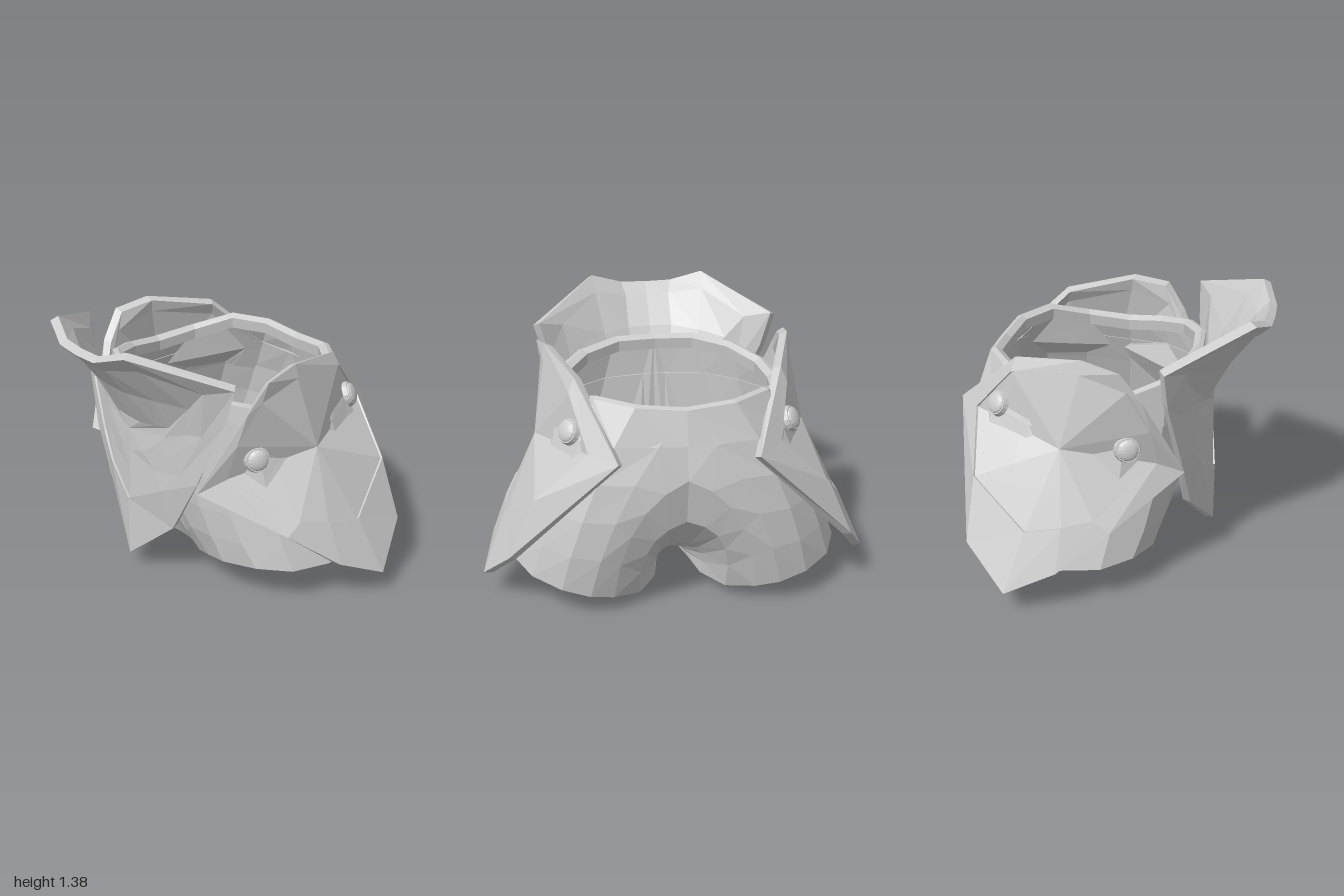
import * as THREE from 'three';

const material = new THREE.MeshStandardMaterial({ color: 0xcccccc, flatShading: true, side: THREE.DoubleSide });

// Skins a list of closed rings, all with the same number of points.
function loft(rings, name) {
  const n = rings[0].length, index = [];
  for (let r = 0; r < rings.length - 1; r++) {
    for (let i = 0; i < n; i++) {
      const a = r * n + i, b = r * n + (i + 1) % n;
      index.push(a, a + n, b, b, a + n, b + n);
    }
  }
  const geometry = new THREE.BufferGeometry();
  geometry.setAttribute('position', new THREE.Float32BufferAttribute(rings.flat(2), 3));
  geometry.setIndex(index);
  geometry.computeVertexNormals();
  const mesh = new THREE.Mesh(geometry, material);
  mesh.name = name;
  return mesh;
}

const mix = (a, b, t) => a.map((v, k) => v + (b[k] - v) * t);
const mirrorPoint = ([x, y, z]) => [-x, y, z];
// Completes a ring from its +x half, whose first and last points lie on x = 0.
const fullRing = half => [...half, ...half.slice(1, -1).reverse().map(mirrorPoint)];

// Thick plate: rim, recessed panel rings down to a centre, and an offset back.
function plate(outline, panel, inner, normalAt, name) {
  const push = (ring, depth) => ring.map(p => {
    const n = new THREE.Vector3(...normalAt(p)).normalize();
    return [p[0] - n.x * depth, p[1] - n.y * depth, p[2] - n.z * depth];
  });
  const front = inner.map(r => push(r, 0.01));
  const back = [outline, panel, ...inner.slice().reverse()].map(r => push(r, 0.045));
  return loft([...front, push(panel, 0.01), panel, outline, ...back], name);
}

// Shorts half: waist and centre seam, bulge controls, leg hem.
const seam = [
  [0, 1.1, 0.41], [0.22, 1.1, 0.39], [0.42, 1.07, 0.29], [0.55, 1.03, 0.12],
  [0.58, 1.01, -0.08], [0.54, 1.04, -0.32], [0.42, 1.1, -0.52], [0.24, 1.09, -0.64],
  [0, 1.07, -0.66], [0, 0.74, -0.745], [0, 0.5, -0.7], [0, 0.27, -0.48],
  [0, 0.11, -0.22], [0, 0.06, 0], [0, 0.13, 0.2], [0, 0.5, 0.38],
];
const bulge = [
  [0.15, 0.52, 0.4], [0.37, 0.5, 0.36], [0.51, 0.5, 0.31], [0.66, 0.56, 0.14],
  [0.73, 0.58, -0.12], [0.71, 0.6, -0.4], [0.63, 0.62, -0.64], [0.52, 0.65, -0.77],
  [0.38, 0.68, -0.82], [0.31, 0.64, -0.79], [0.25, 0.46, -0.75], [0.16, 0.27, -0.51],
  [0.08, 0.11, -0.22], [0.06, 0.06, 0], [0.11, 0.14, 0.19], [0.14, 0.42, 0.35],
];
const hem = [
  [0.36, 0.16, 0.25], [0.5, 0.19, 0.26], [0.68, 0.21, 0.19], [0.8, 0.2, 0.05],
  [0.85, 0.2, -0.15], [0.84, 0.2, -0.38], [0.76, 0.19, -0.57], [0.62, 0.16, -0.68],
  [0.48, 0.12, -0.7], [0.36, 0.09, -0.67], [0.22, 0.06, -0.59], [0.12, 0.05, -0.42],
  [0.08, 0.05, -0.22], [0.06, 0, 0], [0.12, 0.05, 0.13], [0.22, 0.1, 0.2],
];
// Ring of the shorts, from the seam (t = 0) to the hem (t = 1)
const shortsRing = t => seam.map((a, i) => mix(mix(a, bulge[i], t), mix(bulge[i], hem[i], t), t));

function shortsHalf() {
  const group = new THREE.Group();
  group.add(loft([0, 0.2, 0.4, 0.6, 0.8, 1].map(shortsRing), 'shortsShell'));
  // Turned-in edge around the leg opening
  const centre = [0.47, 0.13, -0.23];
  const lip = (t, dy) => hem.map(p => {
    const q = mix(p, centre, t);
    return [q[0], p[1] + dy, q[2]];
  });
  group.add(loft([hem, lip(0.06, 0.005), lip(0.06, 0.06)], 'legHem'));
  return group;
}

// Belt that follows the top of the shorts
function waistBand() {
  const waist = fullRing(seam.slice(0, 9));
  const lower = fullRing(shortsRing(0.2).slice(0, 9).map((p, i) => (i % 8 ? p : [0, p[1], p[2]])));
  const ring = (base, s, dy) => base.map(([x, y, z]) => [x * s, y + dy, (z + 0.13) * s - 0.13]);
  return loft([
    ring(lower, 0.99, 0), ring(lower, 1.015, 0), ring(waist, 1.015, 0),
    ring(waist, 0.97, 0.01), ring(waist, 0.91, -0.01), ring(waist, 0.92, -0.07),
  ], 'waistBand');
}

function frontPlate() {
  const outline = fullRing([
    [0, 1.29, 0.775], [0.15, 1.295, 0.77], [0.33, 1.355, 0.715], [0.665, 1.21, 0.33],
    [0.61, 1.02, 0.34], [0.45, 0.65, 0.39], [0.27, 0.33, 0.41], [0, 0.09, 0.5],
  ]);
  const panel = fullRing([
    [0, 1.23, 0.715], [0.13, 1.235, 0.71], [0.32, 1.275, 0.64], [0.53, 1.17, 0.41],
    [0.48, 0.92, 0.385], [0.34, 0.66, 0.42], [0.22, 0.54, 0.455], [0, 0.42, 0.5],
  ]);
  const middle = fullRing([
    [0, 1.08, 0.6], [0.13, 1.08, 0.59], [0.28, 1.07, 0.52], [0.42, 1.05, 0.42],
    [0.38, 0.9, 0.41], [0.27, 0.74, 0.44], [0.18, 0.64, 0.46], [0, 0.58, 0.495],
  ]);
  const core = fullRing([
    [0, 0.89, 0.495], [0.1, 0.89, 0.49], [0.2, 0.9, 0.465], [0.28, 0.91, 0.44],
    [0.25, 0.85, 0.445], [0.17, 0.77, 0.465], [0.1, 0.72, 0.48], [0, 0.7, 0.492],
  ]);
  const centre = core.map(() => [0, 0.82, 0.49]);
  const normalAt = ([x, y]) => [x * 0.8, y > 1 ? -0.3 : 0, 0.5];
  return plate(outline, panel, [centre, core, middle], normalAt, 'frontPlate');
}

// Domed rivet on a low collar
function rivet(position, normal) {
  const group = new THREE.Group();
  group.name = 'rivet';
  const collar = new THREE.Mesh(new THREE.CylinderGeometry(0.06, 0.068, 0.025, 16), material);
  collar.name = 'rivetCollar';
  const dome = new THREE.Mesh(new THREE.SphereGeometry(0.054, 14, 6, 0, Math.PI * 2, 0, Math.PI / 2), material);
  dome.name = 'rivetDome';
  dome.scale.y = 0.4;
  dome.position.y = 0.011;
  group.add(collar, dome);
  group.position.set(...position);
  group.quaternion.setFromUnitVectors(new THREE.Vector3(0, 1, 0), new THREE.Vector3(...normal).normalize());
  return group;
}

function sidePlate() {
  const outline = [
    [0.48, 0.62, 0.41], [0.63, 1.05, 0.22], [0.66, 1.2, 0.12], [0.63, 1.24, -0.07], [0.51, 1.18, -0.43],
    [0.34, 0.86, -0.78], [0.87, 0.32, -0.61], [1, 0.13, -0.39], [0.94, 0.24, -0.14], [0.81, 0.42, 0.1],
  ];
  const panel = [
    [0.55, 0.69, 0.28], [0.6, 0.88, 0.26], [0.65, 1.1, 0.15], [0.645, 1.17, -0.08], [0.54, 1.11, -0.45],
    [0.47, 0.87, -0.66], [0.74, 0.62, -0.6], [0.88, 0.42, -0.31], [0.86, 0.45, -0.13], [0.81, 0.48, 0.02],
  ];
  const centre = panel.map(() => [0.71, 0.8, -0.17]);
  const middle = panel.map((p, i) => mix(p, centre[i], 0.5));
  const normalAt = ([x, , z]) => [x, 0.25, (z + 0.15) * 0.9];
  const group = new THREE.Group();
  group.add(
    plate(outline, panel, [centre, middle], normalAt, 'sidePlateShell'),
    rivet([0.625, 0.79, 0.15], [0.9, 0.2, 0.38]),
    rivet([0.55, 0.94, -0.52], [0.7, 0.42, -0.5]),
  );
  return group;
}

export function createModel() {
  const model = new THREE.Group();
  model.name = 'hipArmour';
  for (const side of [1, -1]) {
    const half = shortsHalf();
    half.name = side > 0 ? 'leftShorts' : 'rightShorts';
    const guard = sidePlate();
    guard.name = side > 0 ? 'leftHipPlate' : 'rightHipPlate';
    half.scale.x = guard.scale.x = side;
    model.add(half, guard);
  }
  model.add(waistBand(), frontPlate());
  return model;
}
